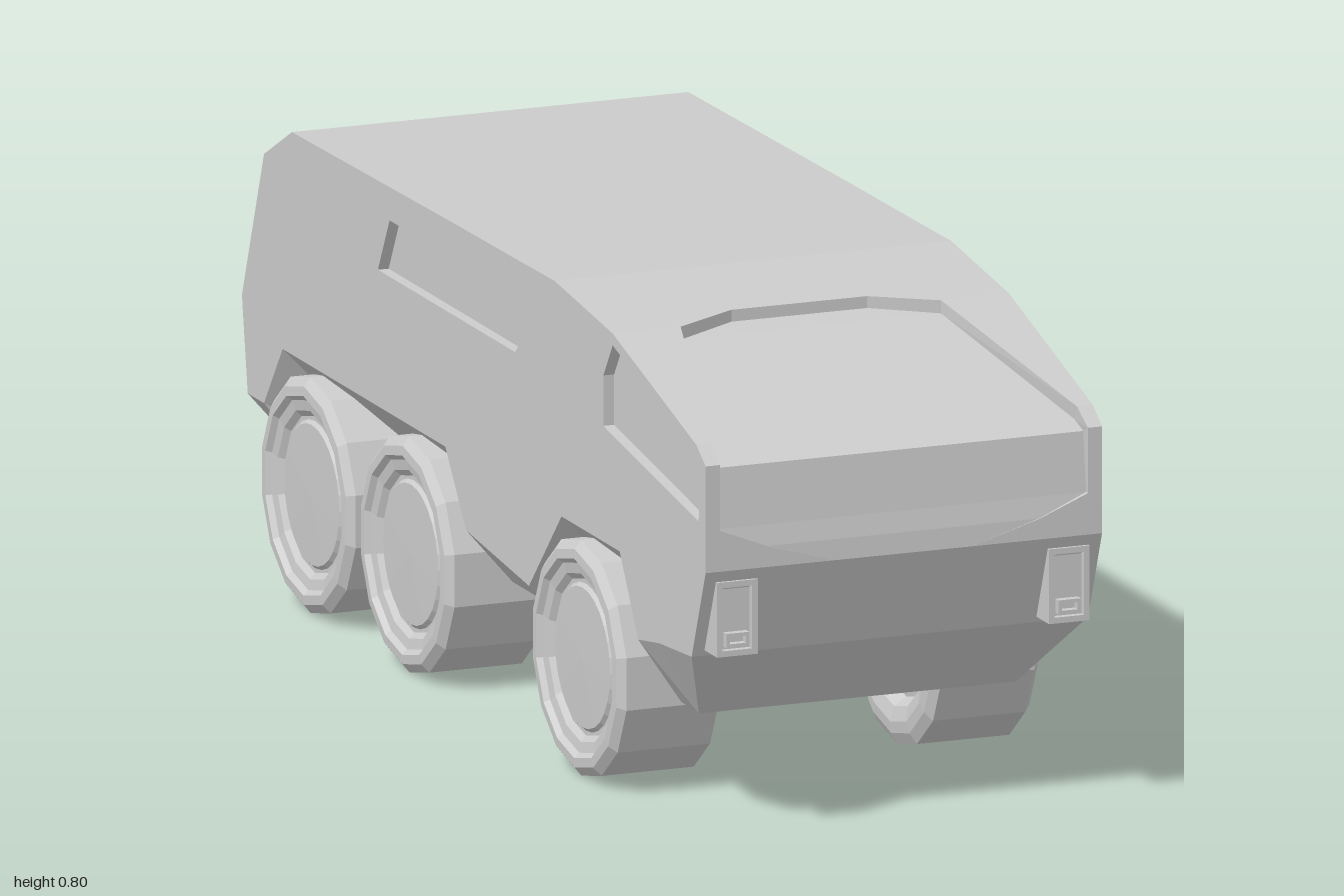
import * as THREE from 'three';

const grey = new THREE.MeshStandardMaterial({ color: 0xcccccc, flatShading: true });
const greyDouble = new THREE.MeshStandardMaterial({ color: 0xcccccc, flatShading: true, side: THREE.DoubleSide });
const W = 0.35; // half width of the hull

function add(parent, name, geometry, material = grey, x = 0, y = 0, z = 0) {
  const mesh = new THREE.Mesh(geometry, material);
  mesh.name = name;
  mesh.position.set(x, y, z);
  parent.add(mesh);
  return mesh;
}

// Collects quads into a faceted geometry
function quadBuilder() {
  const p = [];
  return {
    quad: (a, b, c, d) => p.push(...a, ...b, ...c, ...a, ...c, ...d),
    build: () => {
      const g = new THREE.BufferGeometry();
      g.setAttribute('position', new THREE.Float32BufferAttribute(p, 3));
      g.computeVertexNormals();
      return g;
    },
  };
}

const polygon = (pts) => new THREE.Shape(pts.map(([x, y]) => new THREE.Vector2(x, y)));
const rect = (w, h) => [[-w / 2, -h / 2], [w / 2, -h / 2], [w / 2, h / 2], [-w / 2, h / 2]];
const extrude = (shape, depth) => new THREE.ExtrudeGeometry(shape, { depth, bevelEnabled: false });

// Rectangular bezel with an opening
function bezel(w, h, border, depth) {
  const s = polygon(rect(w, h));
  s.holes.push(polygon(rect(w - 2 * border, h - 2 * border)));
  return extrude(s, depth);
}

// Group lying on a sloped face, local +z pointing along the normal
function onFace(parent, name, y, z, ny, nz) {
  const g = new THREE.Group();
  g.name = name;
  g.position.set(0, y, z);
  g.lookAt(0, y + ny, z + nz);
  parent.add(g);
  return g;
}

// Hull stations, front to back: roof z,y | side lower edge z,y | belly z,y, half width
const stations = [
  [1, 0.64, 1, 0.46, 1, 0.46, 0.35],
  [0.96, 0.667, 0.94, 0.31, 0.94, 0.305, 0.35],
  [0.6, 0.77, 0.8, 0.295, 0.8, 0.17, 0.28],
  [0.55, 0.776, 0.71, 0.28, 0.7, 0.165, 0.27],
  [0.35, 0.8, 0.63, 0.41, 0.64, 0.19, 0.13],
  [0.2, 0.798, 0.38, 0.41, 0.33, 0.19, 0.13],
  [0, 0.796, 0.24, 0.26, 0.24, 0.19, 0.26],
  [-0.1, 0.795, -0.03, 0.29, -0.05, 0.19, 0.26],
  [-0.3, 0.792, -0.12, 0.41, -0.13, 0.19, 0.13],
  [-0.78, 0.785, -0.82, 0.41, -0.81, 0.18, 0.13],
  [-0.9, 0.72, -0.9, 0.3, -0.89, 0.17, 0.25],
  [-0.995, 0.46, -0.97, 0.3, -0.965, 0.28, 0.3],
];

function buildHull(root) {
  const q = quadBuilder();
  const rings = stations.map(([zt, yt, ze, ye, zb, yb, b]) => [
    [-W, yt, zt], [W, yt, zt], [W, ye, ze], [b, yb, zb], [-b, yb, zb], [-W, ye, ze],
  ]);
  for (let i = 0; i < rings.length - 1; i++) {
    const f = rings[i], g = rings[i + 1];
    // roof (its front is the windscreen frame), then lower flanks and belly
    for (const k of i < 3 ? [2, 3, 4] : [0, 2, 3, 4]) q.quad(f[k], f[k + 1], g[k + 1], g[k]);
  }
  const r = rings[rings.length - 1];
  q.quad(r[0], r[1], r[2], r[5]);
  q.quad(r[5], r[2], r[3], r[4]);
  add(root, 'hull', q.build());

  // Flat sides with recessed windows
  const outline = [
    ...stations.map((s) => [s[0], s[1]]),
    ...stations.map((s) => [s[2], s[3]]).reverse(),
  ];
  const windows = [
    [[0.975, 0.645], [0.97, 0.54], [0.56, 0.605], [0.56, 0.69], [0.6, 0.75]],
    [[0.28, 0.735], [-0.36, 0.735], [-0.41, 0.64], [0.18, 0.64]],
  ];
  const side = polygon(outline);
  side.holes.push(...windows.map(polygon));
  for (const s of [1, -1]) {
    const label = s > 0 ? 'left' : 'right';
    add(root, label + 'Side', extrude(side, 0.02).rotateY(-Math.PI / 2), grey, s > 0 ? W : -W + 0.02);
    for (const w of windows) {
      add(root, label + 'Window', new THREE.ShapeGeometry(polygon(w)).rotateY(-Math.PI / 2), greyDouble, s * (W - 0.019));
    }
  }
}

// Windscreen folding over the nose: frame z,y | half width | glass z,y
function buildWindscreen(root) {
  const rows = [
    [0.55, 0.776, 0.12, 0.55, 0.756],
    [0.6, 0.77, 0.23, 0.6, 0.748],
    [0.96, 0.667, 0.322, 0.95, 0.643],
    [1, 0.64, 0.325, 0.98, 0.63],
    [1, 0.53, 0.325, 0.992, 0.53],
    [1, 0.495, 0.24, 0.998, 0.495],
    [1, 0.46, 0.12, 1, 0.46],
  ];
  const frame = quadBuilder(), glass = quadBuilder();
  const outer = ([z, y], x) => [x, y, z];
  const inner = ([, , , z, y], x) => [x, y, z];
  for (let i = 0; i < rows.length - 1; i++) {
    const g = rows[i], f = rows[i + 1], wf = f[2], wg = g[2];
    frame.quad(outer(f, wf), outer(f, W), outer(g, W), outer(g, wg));
    frame.quad(outer(f, -W), outer(f, -wf), outer(g, -wg), outer(g, -W));
    frame.quad(outer(f, wf), outer(g, wg), inner(g, wg), inner(f, wf));
    frame.quad(outer(g, -wg), outer(f, -wf), inner(f, -wf), inner(g, -wg));
    glass.quad(inner(f, -wf), inner(f, wf), inner(g, wg), inner(g, -wg));
  }
  const t = rows[0];
  frame.quad(outer(t, -t[2]), inner(t, -t[2]), inner(t, t[2]), outer(t, t[2]));
  add(root, 'windscreenFrame', frame.build(), greyDouble);
  add(root, 'windscreen', glass.build(), greyDouble);
}

function buildLights(root) {
  for (const s of [1, -1]) {
    // Headlight housing
    add(root, 'headlightBezel', bezel(0.072, 0.126, 0.01, 0.07), grey, s * 0.293, 0.378, 0.928);
    add(root, 'headlightPanel', new THREE.BoxGeometry(0.054, 0.108, 0.06), grey, s * 0.293, 0.378, 0.957);
    add(root, 'headlightLamp', bezel(0.04, 0.024, 0.006, 0.014), grey, s * 0.293, 0.342, 0.986);
  }
}

function buildRear(root) {
  const upper = onFace(root, 'rearUpper', 0.59, -0.9475, 0.343, -0.939);
  const lower = onFace(root, 'rearLower', 0.38, -0.982, -0.164, -0.986);
  // Rear hatch, folded at the widest point of the tail
  add(upper, 'hatchUpper', extrude(polygon([
    [-0.175, -0.14], [0.175, -0.14], [0.175, 0.07], [0.145, 0.112], [-0.145, 0.112], [-0.175, 0.07],
  ]), 0.014));
  add(upper, 'hatchHinge', new THREE.BoxGeometry(0.24, 0.008, 0.01), grey, 0, 0.085, 0.014);
  add(lower, 'hatchLower', extrude(polygon([
    [-0.175, 0.082], [-0.175, -0.06], [-0.15, -0.085], [0.15, -0.085], [0.175, -0.06], [0.175, 0.082],
  ]), 0.014));
  for (const s of [1, -1]) {
    add(upper, 'tailLight', bezel(0.052, 0.2, 0.009, 0.008), grey, s * 0.288, 0.01, 0);
    add(upper, 'tailLamp', new THREE.BoxGeometry(0.016, 0.165, 0.008), grey, s * 0.288, 0.01, 0.002);
    add(lower, 'towEye', bezel(0.045, 0.04, 0.01, 0.012), grey, s * 0.27, 0.015, 0);
  }
}

// Wheel along +x, outer face outwards
function buildWheel() {
  const wheel = new THREE.Group();
  const lathe = (pts, sides) => new THREE.LatheGeometry(
    pts.map(([r, a]) => new THREE.Vector2(r, a)), sides, Math.PI / 2).rotateZ(-Math.PI / 2);
  add(wheel, 'tyre', lathe([
    [0.12, 0.215], [0.135, 0.192], [0.16, 0.185], [0.18, 0.187], [0.199, 0.197], [0.199, 0.36],
    [0.184, 0.372], [0.168, 0.373], [0.16, 0.364], [0.142, 0.361], [0.13, 0.35],
  ], 14));
  add(wheel, 'hub', lathe([
    [0, 0.19], [0.04, 0.19], [0.05, 0.205], [0.132, 0.215], [0.132, 0.352], [0.124, 0.352], [0.118, 0.358], [0, 0.36],
  ], 28));
  add(wheel, 'axle', lathe([
    [0, 0.04], [0.026, 0.04], [0.026, 0.14], [0.042, 0.145], [0.042, 0.17], [0.026, 0.175], [0.026, 0.2],
  ], 12));
  return wheel;
}

export function createModel() {
  const root = new THREE.Group();
  root.name = 'sixWheeledTransport';
  buildHull(root);
  buildWindscreen(root);
  buildLights(root);
  buildRear(root);

  // Front cross member under the belly
  add(root, 'crossMember', extrude(polygon([
    [-0.175, 0.17], [-0.155, 0.14], [0.155, 0.14], [0.175, 0.17], [0.175, 0.2], [-0.175, 0.2],
  ]), 0.12), grey, 0, 0, 0.52);

  for (const [label, z] of [['front', 0.49], ['middle', -0.25], ['rear', -0.675]]) {
    for (const s of [1, -1]) {
      const wheel = buildWheel();
      wheel.name = label + (s > 0 ? 'LeftWheel' : 'RightWheel');
      wheel.position.set(0, 0.199, z);
      if (s < 0) wheel.rotation.y = Math.PI;
      root.add(wheel);
    }
  }
  return root;
}
